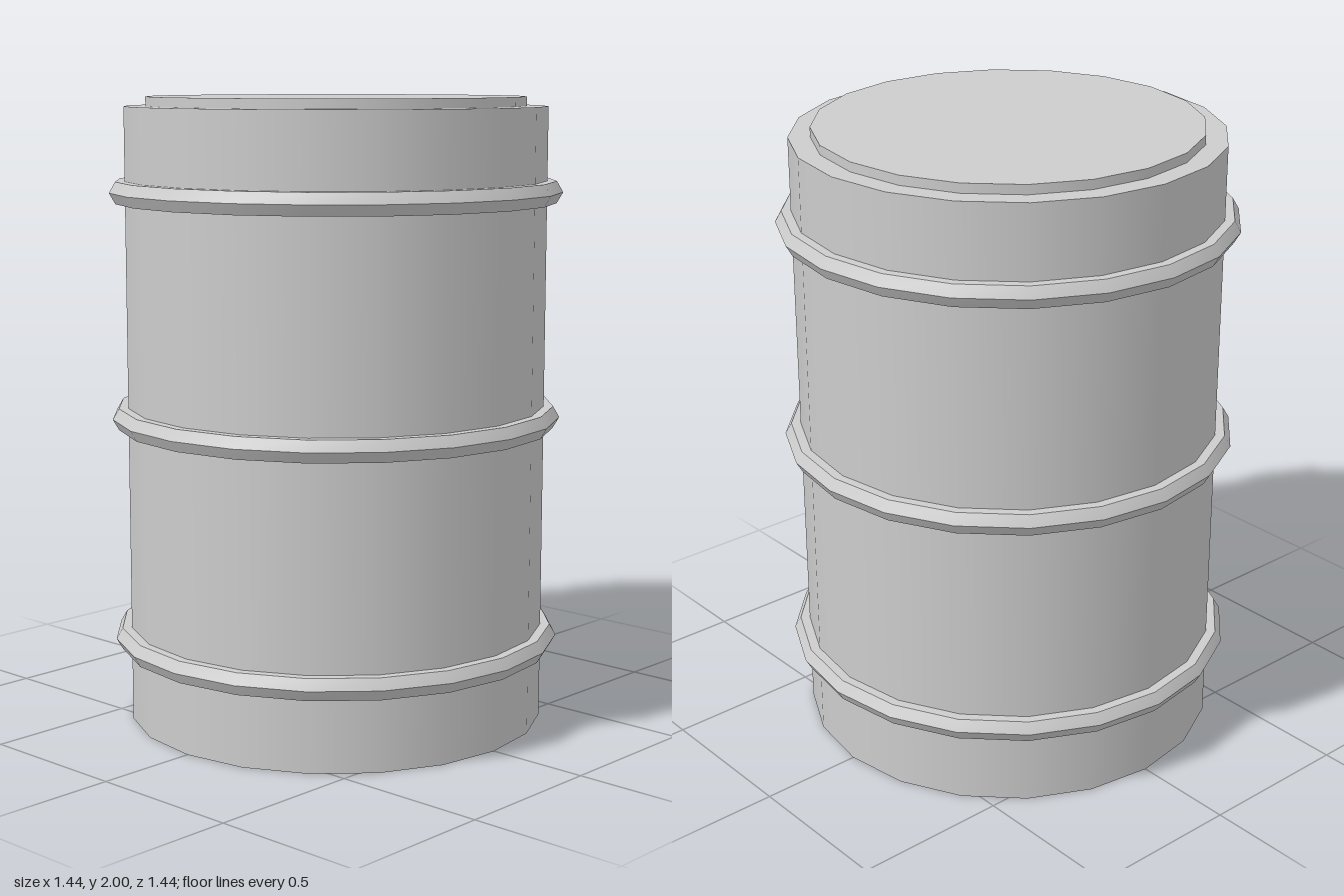
import * as THREE from 'three';
import { toCreasedNormals } from 'three/addons/utils/BufferGeometryUtils.js';

const SIDES = 20;

export function createModel() {
  const model = new THREE.Group();
  model.name = 'barrel';
  const steel = new THREE.MeshStandardMaterial({ name: 'greySteel', color: 0xcccccc });

  const add = (name, geometry, y) => {
    const mesh = new THREE.Mesh(geometry, steel);
    mesh.name = name;
    mesh.position.y = y;
    model.add(mesh);
  };

  // Main drum
  add('body', new THREE.CylinderGeometry(0.67, 0.67, 1.97, SIDES), 0.985);

  // Low raised disc on top
  add('lid', new THREE.CylinderGeometry(0.602, 0.602, 0.03, SIDES), 1.985);

  // Hexagonal-section hoops, smooth around but with sharp edges
  const hoop = toCreasedNormals(
    new THREE.TorusGeometry(0.68, 0.04, 6, SIDES).rotateX(-Math.PI / 2), 0.6);
  const hoops = { lowerHoop: 0.27, middleHoop: 0.987, upperHoop: 1.703 };
  for (const [name, y] of Object.entries(hoops)) add(name, hoop, y);

  return model;
}
